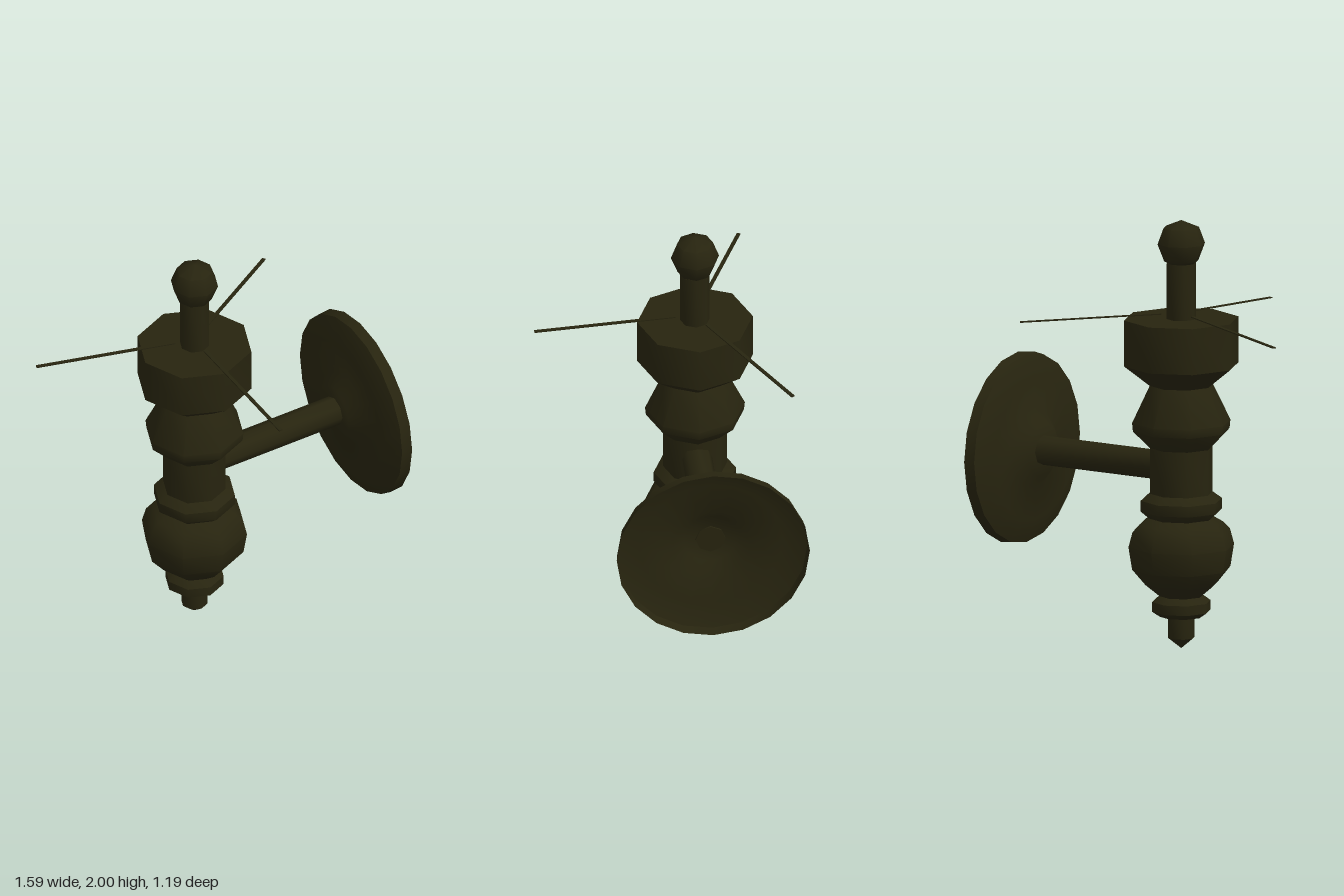
import * as THREE from 'three';
import { toCreasedNormals } from 'three/addons/utils/BufferGeometryUtils.js';

const AXIS_X = -0.105, AXIS_Z = -0.15, ARM_Y = 0.843;

export function createModel() {
  const model = new THREE.Group();
  model.name = 'wallFixture';
  const metal = new THREE.MeshStandardMaterial({ color: 0x27240f, side: THREE.DoubleSide });
  metal.name = 'darkBronze';

  const add = (name, geometry, parent = model) => {
    const mesh = new THREE.Mesh(geometry, metal);
    mesh.name = name;
    parent.add(mesh);
    return mesh;
  };
  // Turned part from [radius, height] pairs, listed from bottom to top
  const turned = (profile, sides) => toCreasedNormals(
    new THREE.LatheGeometry(profile.map(([r, y]) => new THREE.Vector2(r, y)), sides), 0.84);

  // Turned upright body
  const body = new THREE.Group();
  body.name = 'body';
  body.position.set(AXIS_X, 0, AXIS_Z);
  model.add(body);
  const parts = {
    bottomTip: [[0, 0], [0.062, 0.05], [0.062, 0.16]],
    lowerCollar: [[0, 0.15], [0.1, 0.15], [0.137, 0.175], [0.137, 0.22], [0.1, 0.247]],
    bulb: [[0.1, 0.245], [0.167, 0.3], [0.23, 0.375], [0.247, 0.48], [0.228, 0.55],
      [0.195, 0.585], [0.15, 0.612]],
    upperCollar: [[0.15, 0.61], [0.19, 0.645], [0.19, 0.695], [0.147, 0.727]],
    column: [[0.147, 0.72], [0.147, 0.942]],
    shoulder: [[0.147, 0.94], [0.226, 1.02], [0.23, 1.06], [0.147, 1.232]],
    cup: [[0.147, 1.23], [0.267, 1.325], [0.267, 1.54], [0, 1.54]],
    post: [[0.068, 1.53], [0.068, 1.8]],
    finial: [[0, 1.79], [0.045, 1.79], [0.08, 1.81], [0.111, 1.89], [0.083, 1.965], [0, 2]],
  };
  for (const [name, profile] of Object.entries(parts)) add(name, turned(profile, 8), body);

  // Three thin spokes sloping down and outward from the post
  const inner = 0.09, outer = 0.74, drop = 0.042;
  for (const [dx, dz] of [[0, 0.74], [-0.687, -0.265], [0.637, -0.4]]) {
    const pivot = new THREE.Group();
    pivot.name = 'spokePivot';
    pivot.rotation.y = Math.atan2(dx, dz);
    body.add(pivot);
    const spoke = add('spoke', new THREE.BoxGeometry(0.017, 0.005, Math.hypot(outer - inner, drop)), pivot);
    spoke.position.set(0, 1.54, (inner + outer) / 2);
    spoke.rotation.x = Math.atan2(drop, outer - inner);
  }

  // Horizontal arm and hollow wall plate, turned about the x axis
  const mount = new THREE.Group();
  mount.name = 'wallMount';
  mount.position.set(0, ARM_Y, AXIS_Z);
  mount.rotation.z = -Math.PI / 2;
  model.add(mount);
  add('arm', turned([[0, 0], [0.069, 0], [0.069, 0.662], [0, 0.662]], 8), mount);
  add('wallPlate', turned([[0, 0.655], [0.124, 0.655], [0.178, 0.7], [0.33, 0.7],
    [0.438, 0.745], [0.445, 0.795]], 20), mount);

  return model;
}
